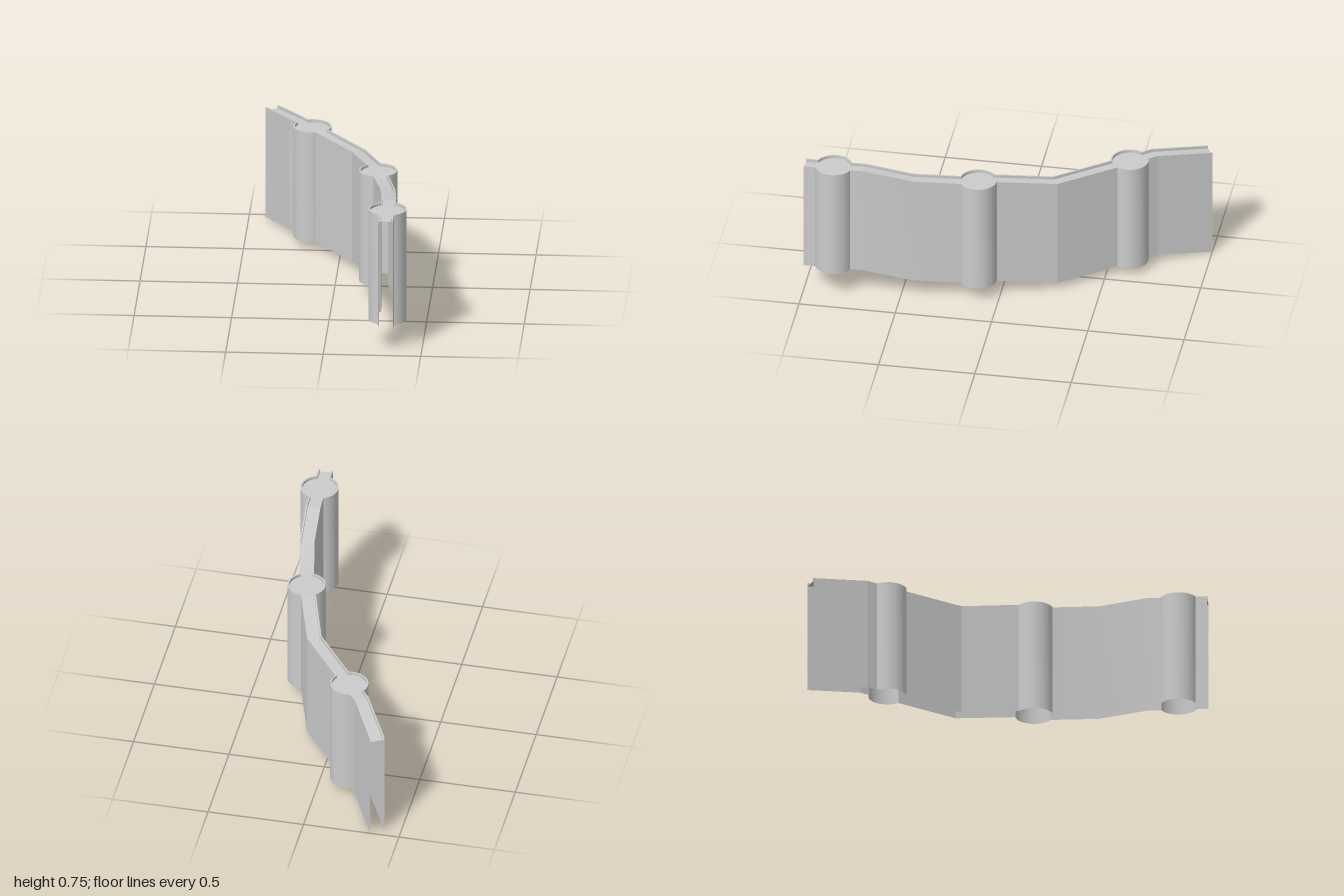
import * as THREE from 'three';
import { toCreasedNormals } from 'three/addons/utils/BufferGeometryUtils.js';

const HALF = 0.038;      // half width of the wall
const RADIUS = 0.098;    // tower radius
const HEIGHT = 0.6;
const LIP = 0.015;       // parapet height above the walkway
const THICK = 0.008;     // parapet thickness
const ARC = 20;

// Centre line from back to front: x, z, base height, tower?
const stations = [
  [-0.383, -0.982, 0], [-0.243, -0.72, 0.04], [-0.153, -0.605, 0.04, true],
  [0.105, -0.262, 0.04], [0.228, 0.116, 0.08, true], [0.297, 0.44, 0.10],
  [0.318, 0.69, 0.147], [0.321, 0.85, 0.147, true], [0.321, 1, 0.147],
].map(([x, z, y, tower]) => ({ p: new THREE.Vector2(x, z), y, tower }));

// Plan outline of one side (+1 is the -x side), mitred at bends and bulging round towers
function outline(sign, inset) {
  const d = HALF - inset, r = RADIUS - inset, pts = [];
  const normal = (u) => new THREE.Vector2(-u.y, u.x).multiplyScalar(sign);
  stations.forEach(({ p, y, tower }, i) => {
    const dir = (a, b) => b.p.clone().sub(a.p).normalize();
    const last = stations.length - 1;
    const u = i > 0 ? dir(stations[i - 1], stations[i]) : dir(stations[0], stations[1]);
    const v = i < last ? dir(stations[i], stations[i + 1]) : u;
    if (tower) {
      const run = Math.sqrt(r * r - d * d);
      const enter = normal(u).multiplyScalar(d).addScaledVector(u, -run);
      const leave = normal(v).multiplyScalar(d).addScaledVector(v, run);
      const a0 = enter.angle();
      let sweep = (a0 - leave.angle()) * sign;
      if (sweep < 0) sweep += Math.PI * 2;
      for (let k = 0; k <= ARC; k++) {
        const a = a0 - sign * sweep * k / ARC;
        pts.push([p.x + r * Math.cos(a), y, p.y + r * Math.sin(a)]);
      }
    } else {
      const m = normal(u).add(normal(v)).normalize();
      const q = p.clone().addScaledVector(m, d / m.dot(normal(u)));
      pts.push([q.x, y, q.y]);
    }
  });
  return pts;
}

const lift = (line, h) => line.map(([x, y, z]) => [x, y + h, z]);

// Skin a series of matching lines with quads
function loft(name, lines, material) {
  const pos = [];
  for (let j = 0; j + 1 < lines.length; j++) {
    const a = lines[j], b = lines[j + 1];
    for (let i = 0; i + 1 < a.length; i++) {
      pos.push(...a[i], ...a[i + 1], ...b[i], ...b[i], ...a[i + 1], ...b[i + 1]);
    }
  }
  const g = new THREE.BufferGeometry();
  g.setAttribute('position', new THREE.Float32BufferAttribute(pos, 3));
  const mesh = new THREE.Mesh(toCreasedNormals(g, 0.15), material);
  mesh.name = name;
  return mesh;
}

export function createModel() {
  const group = new THREE.Group();
  group.name = 'wallSection';
  const material = new THREE.MeshStandardMaterial({ color: 0xcccccc, side: THREE.DoubleSide });

  // Outer wall faces with their parapets, one per side
  for (const sign of [1, -1]) {
    const side = sign > 0 ? 'right' : 'left';
    const outer = outline(sign, 0), inner = outline(sign, THICK);
    const wall = [outer, lift(outer, HEIGHT)];
    const parapet = [lift(outer, HEIGHT), lift(inner, HEIGHT), lift(inner, HEIGHT - LIP)];
    if (sign < 0) { wall.reverse(); parapet.reverse(); }
    group.add(loft(side + 'Wall', wall, material), loft(side + 'Parapet', parapet, material));
  }

  // Walkway between the parapets; the wall is hollow and open below it
  const deck = [1, -1].map((s) => lift(outline(s, 0), HEIGHT - LIP));
  group.add(loft('walkway', deck, material));
  return group;
}
